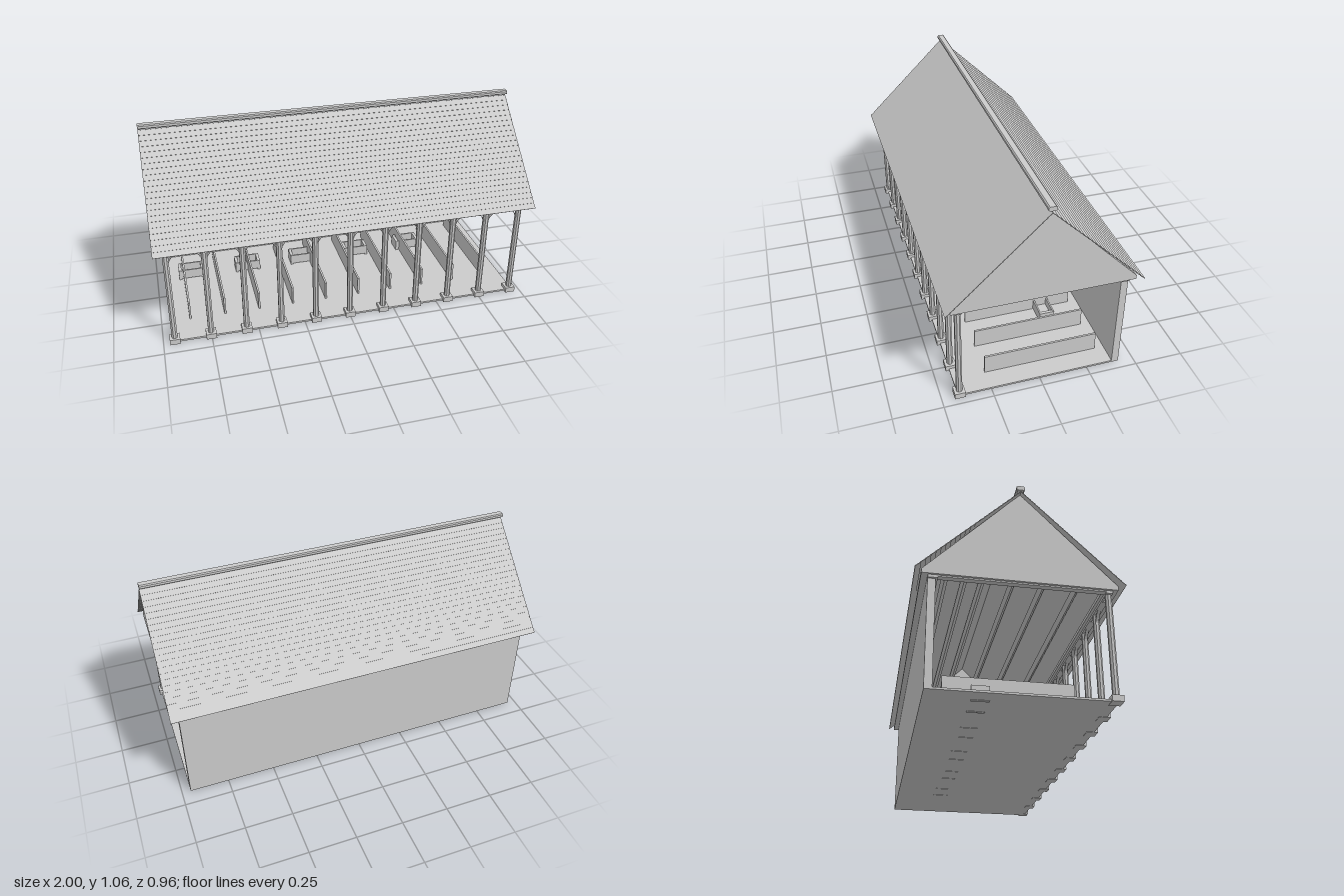
import * as THREE from 'three';

export function createModel() {
  const root = new THREE.Group();
  const mat = new THREE.MeshStandardMaterial({ color: 0xcccccc, flatShading: true, side: THREE.DoubleSide });

  const add = (name, geo, x = 0, y = 0, z = 0, parent = root) => {
    const m = new THREE.Mesh(geo, mat);
    m.name = name;
    m.position.set(x, y, z);
    parent.add(m);
    return m;
  };
  // box given by its min and max on each axis
  const span = (name, x0, x1, y0, y1, z0, z1, parent) =>
    add(name, new THREE.BoxGeometry(x1 - x0, y1 - y0, z1 - z0),
      (x0 + x1) / 2, (y0 + y1) / 2, (z0 + z1) / 2, parent);
  // closed profile in (z, y), extruded along x and centred
  const alongX = (pts, len) => {
    const g = new THREE.ExtrudeGeometry(new THREE.Shape(pts.map(([z, y]) => new THREE.Vector2(-z, y))),
      { depth: len, bevelEnabled: false });
    g.translate(0, 0, -len / 2);
    return g.rotateY(Math.PI / 2);
  };

  // floor and back wall
  span('floor', -0.955, 0.955, 0.002, 0.012, -0.42, 0.42);
  span('backWall', -0.955, 0.955, 0.002, 0.545, -0.42, -0.384);
  span('wallPlate', -0.965, 0.965, 0.533, 0.547, -0.42, -0.375);

  // front posts with feet and diagonal braces
  const bays = 10, step = 0.188, postZ = 0.41;
  const braceShape = new THREE.Shape();
  braceShape.moveTo(0.013, 0.482);
  braceShape.quadraticCurveTo(0.022, 0.522, 0.062, 0.534);
  braceShape.lordOf = undefined;
  braceShape.lineTo(0.05, 0.538);
  braceShape.lineTo(0.013, 0.5);
  const braceGeo = new THREE.ExtrudeGeometry(braceShape, { depth: 0.016, bevelEnabled: false, curveSegments: 5 });
  braceGeo.translate(0, 0, -0.008);
  for (let i = 0; i <= bays; i++) {
    const x = (i - bays / 2) * step;
    const post = new THREE.Group();
    post.name = 'frontPost';
    post.position.set(x, 0, postZ);
    root.add(post);
    const shaft = new THREE.CylinderGeometry(0.0162, 0.0162, 0.51, 8);
    shaft.rotateY(Math.PI / 8);
    add('postShaft', shaft, 0, 0.285, 0, post);
    span('postFoot', -0.027, 0.027, 0, 0.03, -0.027, 0.027, post);
    if (i < bays) add('brace', braceGeo, 0, 0, 0, post);
    if (i > 0) add('brace', braceGeo, 0, 0, 0, post).rotation.y = Math.PI;
  }
  span('frontBeam', -0.965, 0.965, 0.533, 0.55, 0.394, 0.426);

  // stall dividers
  for (let i = 0; i < bays; i++) {
    const x = (i + 0.5 - bays / 2) * step;
    span('stallDivider', x - 0.005, x + 0.005, 0.01, 0.115, -0.335, 0.255);
  }

  // feeding troughs on end supports
  for (let i = 0; i < 5; i++) {
    const trough = new THREE.Group();
    trough.name = 'trough';
    trough.position.set(-0.803 + i * 0.33, 0, -0.17);
    root.add(trough);
    span('troughBase', -0.068, 0.068, 0.018, 0.03, -0.036, 0.036, trough);
    for (const s of [-1, 1]) {
      span('troughSide', -0.068, 0.068, 0.018, 0.072, s * 0.036 - 0.004, s * 0.036 + 0.004, trough);
      span('troughEnd', s * 0.064 - 0.008, s * 0.064 + 0.008, 0, 0.07, -0.041, 0.041, trough);
    }
  }

  // gable ends and tie beams
  const gable = alongX([[0.45, 0.547], [0.45, 0.567], [0, 1.025], [-0.45, 0.567], [-0.45, 0.547]], 0.02);
  for (const s of [-1, 1]) {
    add('gable', gable, s * 0.965);
    span('tieBeam', s * 0.95 - 0.014, s * 0.95 + 0.014, 0.54, 0.56, -0.4, 0.4);
  }

  // roof: eave plates, purlins and overlapping rows of thin boards
  const apex = 1.026, eaveY = 0.562, eaveZ = 0.478, rows = 22;
  const slope = Math.atan2(apex - eaveY, eaveZ);
  const rowLen = Math.hypot(apex - eaveY, eaveZ) / rows;
  const boardGeo = new THREE.BoxGeometry(2, 0.003, rowLen * 1.1);
  for (const s of [1, -1]) {
    const side = new THREE.Group();
    side.name = s > 0 ? 'frontRoof' : 'backRoof';
    side.rotation.y = s > 0 ? 0 : Math.PI;
    root.add(side);
    span('eavePlate', -0.975, 0.975, 0.547, 0.566, 0.38, 0.45, side);
    for (let i = 0; i < rows; i++) {
      const t = (i + 0.5) / rows;
      add('roofBoard', boardGeo, 0, eaveY + (apex - eaveY) * t, eaveZ * (1 - t), side)
        .rotation.x = slope - 0.07;
    }
    for (const t of [0.3, 0.55, 0.8]) {
      add('purlin', new THREE.BoxGeometry(1.92, 0.022, 0.026), 0,
        eaveY + (apex - eaveY) * t - 0.018, eaveZ * (1 - t) - 0.014, side).rotation.x = slope;
    }
  }

  // ridge cap with chamfered edges
  add('ridgeCap', alongX([[0.02, 1.04], [0.02, 1.052], [0.014, 1.057], [-0.014, 1.057],
    [-0.02, 1.052], [-0.02, 1.04], [-0.014, 1.035], [0.014, 1.035]], 2));

  return root;
}
